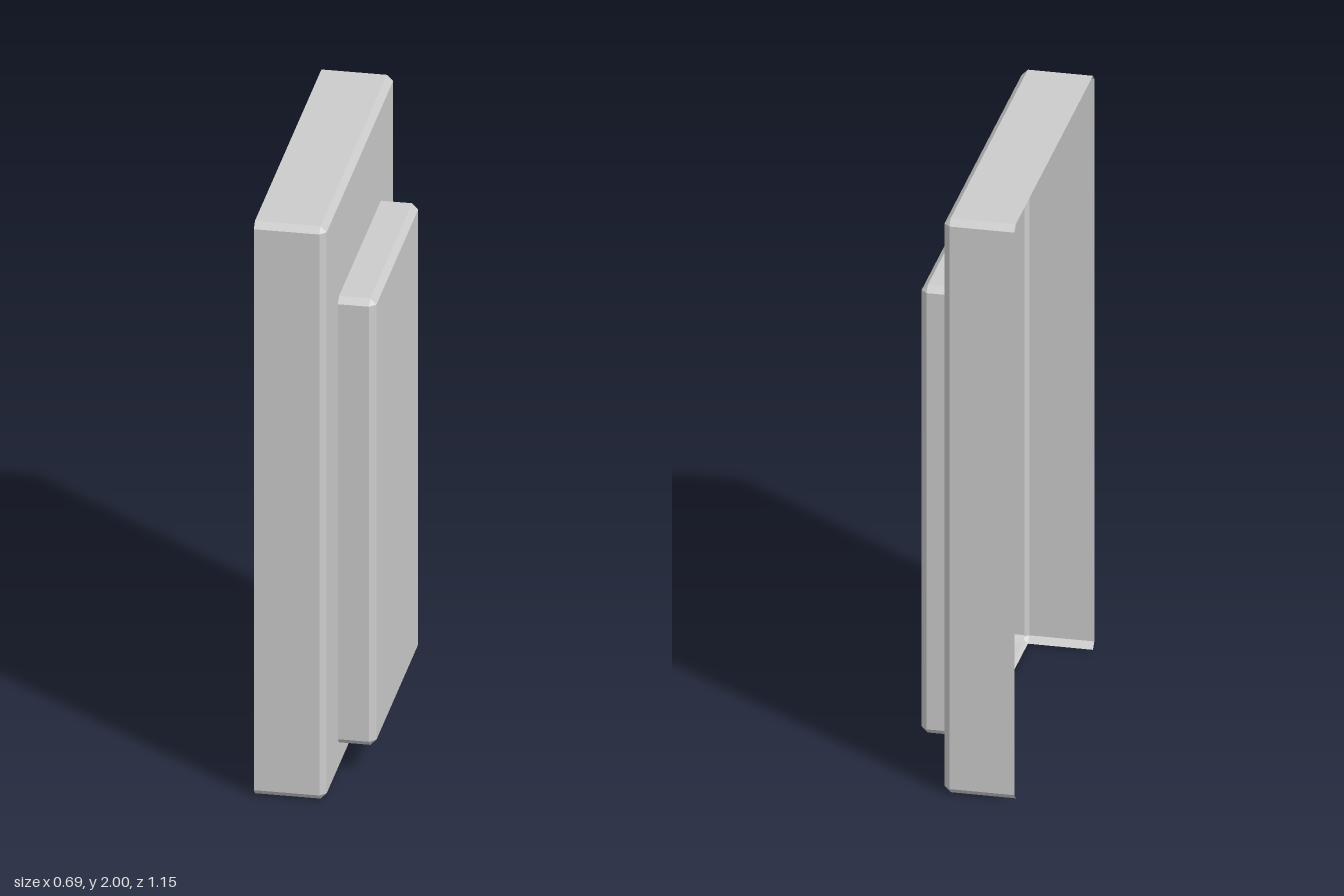
import * as THREE from 'three';

const CHAMFER = 0.02;

// Walls of a chamfered box along z, open at the back; skipBottom leaves out the flat underside.
function chamferedWalls([x0, x1], [y0, y1], back, front, skipBottom) {
  const c = CHAMFER;
  const octagon = [
    [x0 + c, y0], [x1 - c, y0], [x1, y0 + c], [x1, y1 - c],
    [x1 - c, y1], [x0 + c, y1], [x0, y1 - c], [x0, y0 + c],
  ];
  const inset = octagon.map(([x, y]) => [
    THREE.MathUtils.clamp(x, x0 + c, x1 - c),
    THREE.MathUtils.clamp(y, y0 + c, y1 - c),
  ]);
  const rings = [[octagon, back], [octagon, front - c], [inset, front]]
    .map(([ring, z]) => ring.map(([x, y]) => new THREE.Vector3(x, y, z)));

  const positions = [];
  const triangle = (p, q, r) => {
    if (p.equals(q) || q.equals(r) || r.equals(p)) return;
    for (const v of [p, q, r]) positions.push(v.x, v.y, v.z);
  };
  for (let k = 0; k < 2; k++) {
    for (let i = 0; i < 8; i++) {
      if (skipBottom && k === 0 && i === 0) continue;
      const j = (i + 1) % 8;
      const [a, b, c2, d] = [rings[k][i], rings[k][j], rings[k + 1][j], rings[k + 1][i]];
      triangle(a, b, c2);
      triangle(a, c2, d);
    }
  }
  const geometry = new THREE.BufferGeometry();
  geometry.setAttribute('position', new THREE.Float32BufferAttribute(positions, 3));
  geometry.computeVertexNormals();
  return geometry;
}

function rectangle(path, [x0, x1], [y0, y1], m) {
  path.moveTo(x0 + m, y0 + m);
  path.lineTo(x1 - m, y0 + m);
  path.lineTo(x1 - m, y1 - m);
  path.lineTo(x0 + m, y1 - m);
  path.closePath();
  return path;
}

export function createModel() {
  const model = new THREE.Group();
  const material = new THREE.MeshStandardMaterial({
    color: 0xcccccc, flatShading: true, side: THREE.DoubleSide,
  });

  const add = (name, parent, geometry) => {
    const mesh = new THREE.Mesh(geometry, material);
    mesh.name = name;
    parent.add(mesh);
  };

  // One hollow chamfered panel: walls plus a face, which may have an opening
  const panel = (name, xs, ys, back, front, opening, skipBottom) => {
    const group = new THREE.Group();
    group.name = name;
    add(name + 'Walls', group, chamferedWalls(xs, ys, back, front, skipBottom));
    const shape = rectangle(new THREE.Shape(), xs, ys, CHAMFER);
    if (opening) shape.holes.push(rectangle(new THREE.Path(), ...opening, CHAMFER));
    add(name + 'Face', group, new THREE.ShapeGeometry(shape).translate(0, 0, front));
    model.add(group);
  };

  const raisedX = [-0.363, 0.383];
  const raisedY = [0.1, 1.66];

  // Large frame, open behind and below, with a window behind the raised panel
  panel('frame', [-0.572, 0.591], [0, 2], -0.125, 0.105, [raisedX, raisedY], true);
  // Smaller raised panel, its walls reaching back through the frame
  panel('raisedPanel', raisedX, raisedY, 0.054, 0.225, null, false);

  // Whole piece stands turned about the vertical
  model.children.forEach((part) => { part.rotation.y = THREE.MathUtils.degToRad(113); });
  return model;
}
